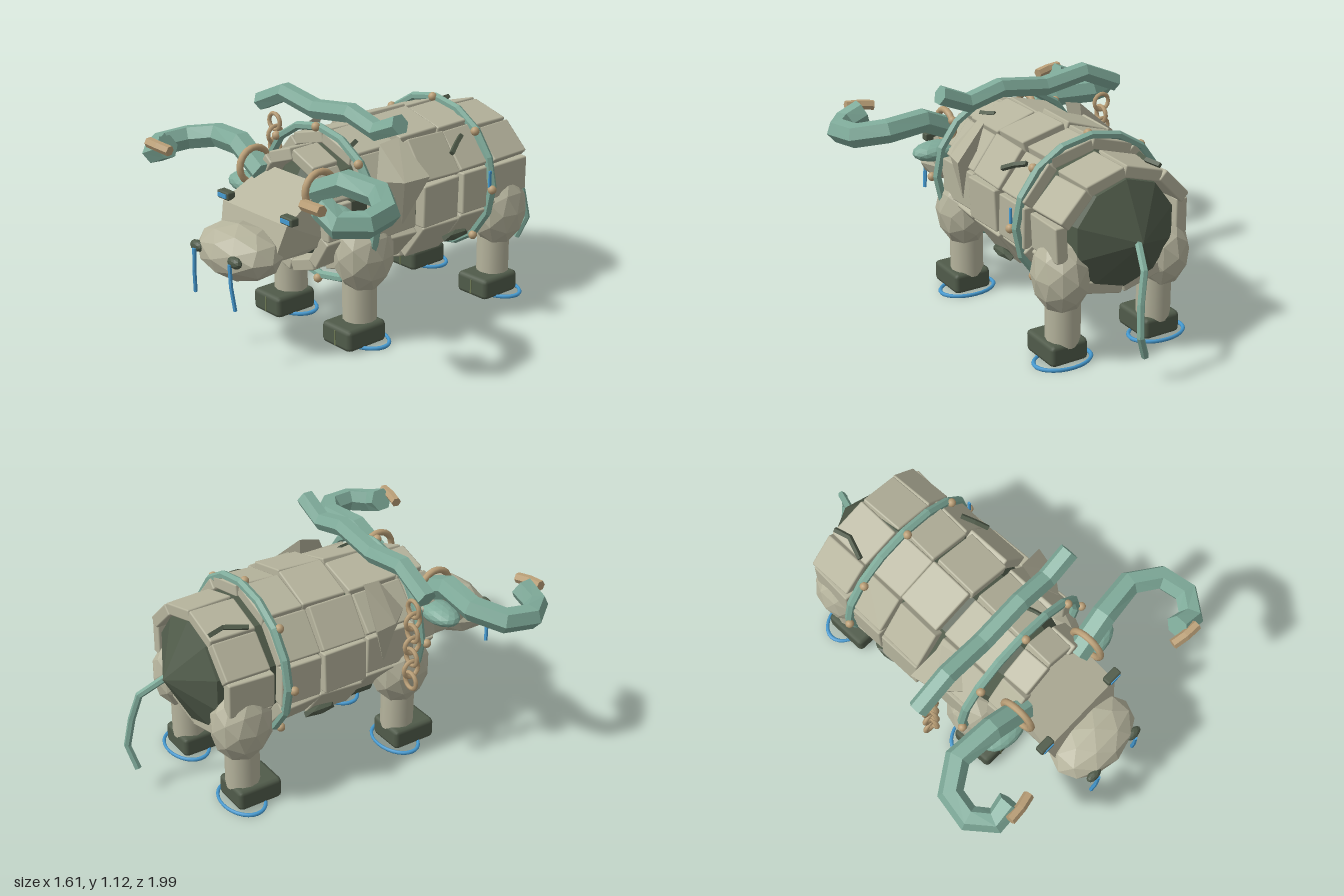
import * as THREE from 'three';
import { ConvexGeometry } from 'three/addons/geometries/ConvexGeometry.js';
import { RoundedBoxGeometry } from 'three/addons/geometries/RoundedBoxGeometry.js';

const material = (name, color) => Object.assign(new THREE.MeshStandardMaterial({ color }), { name });
const V = (x, y, z) => new THREE.Vector3(x, y, z);

// Facet a geometry so every face is flat
function flat(geo) {
  const g = geo.index ? geo.toNonIndexed() : geo;
  g.computeVertexNormals();
  return g;
}

// Faceted tube with a ring exactly at each path point, and capped ends
function bentTube(points, radius, sides = 6) {
  const curve = new THREE.CatmullRomCurve3(points);
  curve.getPointAt = curve.getPoint;
  curve.getTangentAt = curve.getTangent;
  const n = points.length - 1;
  const geo = new THREE.TubeGeometry(curve, n, radius, sides, false);
  const index = Array.from(geo.index.array), end = n * (sides + 1);
  for (let j = 1; j < sides - 1; j++) index.push(0, j, j + 1, end, end + j + 1, end + j);
  geo.setIndex(index);
  return flat(geo);
}

// Low-poly ellipsoid
const boulder = (rx, ry, rz, detail = 1) => flat(new THREE.IcosahedronGeometry(1, detail).scale(rx, ry, rz));

export function createModel() {
  const root = new THREE.Group();
  root.name = 'stoneBull';
  const stone = material('stone', 0xb6b49d);
  const moss = material('moss', 0x6c7853);
  const dark = material('darkStone', 0x505b4a);
  const green = material('patinaGreen', 0x7fab9a);
  const tan = material('bronze', 0xba9f77);
  const blue = material('glowBlue', 0x469bd2);

  const add = (name, geo, mat, x = 0, y = 0, z = 0) => {
    const m = new THREE.Mesh(geo, mat);
    m.name = name;
    m.position.set(x, y, z);
    root.add(m);
    return m;
  };
  let seed = 7;
  const jitter = (a) => {
    seed = (seed * 16807) % 2147483647;
    return (seed / 2147483647 - 0.5) * 2 * a;
  };
  const midY = 0.63;

  // Dark core inside the stone plates, pointed at the rump
  const profile = [[0, -0.83], [0.27, -0.69], [0.325, -0.45], [0.345, -0.2], [0.325, 0.1], [0.23, 0.45], [0, 0.6]];
  const core = new THREE.LatheGeometry(profile.map(([r, y]) => new THREE.Vector2(r, y)), 10);
  add('bodyCore', flat(core.rotateX(Math.PI / 2).scale(1, 0.97, 1)), dark, 0, midY - 0.01, 0);

  // Rings of stone plates: centre z, length, half width, half height
  const rows = [
    [0.455, 0.15, 0.265, 0.28], [0.195, 0.28, 0.365, 0.325], [-0.08, 0.24, 0.388, 0.35],
    [-0.32, 0.22, 0.38, 0.342], [-0.57, 0.24, 0.355, 0.29],
  ];
  for (const [z, len, rx, ry] of rows) {
    for (let i = 0; i < 10; i++) {
      const a = (i / 10) * Math.PI * 2, b = ((i + 1) / 10) * Math.PI * 2;
      const p = V(Math.sin(a) * rx, Math.cos(a) * ry, 0), q = V(Math.sin(b) * rx, Math.cos(b) * ry, 0);
      const mid = p.clone().add(q).multiplyScalar(0.5), d = q.clone().sub(p);
      const plate = add('bodyPlate', new RoundedBoxGeometry(d.length() * 0.97, 0.06, len * 0.97, 1, 0.008), stone,
        mid.x * 0.97, midY + mid.y * 0.97, z + jitter(0.01));
      plate.rotation.set(jitter(0.06), jitter(0.03), Math.atan2(d.y, d.x) + jitter(0.06), 'ZYX');
    }
  }

  // Metal hoops with beads
  for (const z of [0.35, -0.4]) {
    add('hoop', flat(new THREE.TorusGeometry(1, 0.055, 6, 16).scale(0.4, 0.37, 0.4)), green, 0, midY, z);
    for (let i = 0; i < 8; i++) {
      const a = (i * Math.PI) / 4;
      add('hoopBead', new THREE.SphereGeometry(0.022, 10, 8), tan,
        Math.sin(a) * 0.418, midY - 0.005 + Math.cos(a) * 0.378, z + 0.02);
    }
  }

  // Legs with hooves and a glowing ring at each foot
  for (const s of [1, -1]) {
    for (const [z, side] of [[0.33, 'front'], [-0.57, 'rear']]) {
      add(side + 'Haunch', boulder(0.132, 0.192, 0.155), stone, s * 0.275, 0.445, z - 0.01);
      add(side + 'Leg', new THREE.CylinderGeometry(0.083, 0.083, 0.3, 12), stone, s * 0.255, 0.24, z);
      add(side + 'Hoof', new RoundedBoxGeometry(0.2, 0.108, 0.235, 1, 0.022), dark, s * 0.26, 0.062, z + 0.04);
      add(side + 'HoofCleft', new THREE.BoxGeometry(0.008, 0.075, 0.006), moss, s * 0.26, 0.06, z + 0.157);
      add(side + 'FootRing', new THREE.TorusGeometry(1, 0.075, 6, 28).rotateX(Math.PI / 2).scale(0.145, 0.13, 0.1),
        blue, s * 0.265, 0.01, z - 0.015);
    }
  }

  // Head block, tapering forward and down
  const headPoints = [];
  for (const s of [1, -1]) {
    headPoints.push(V(s * 0.21, 0.8, 0.5), V(s * 0.235, 0.67, 0.74), V(s * 0.2, 0.5, 0.79),
      V(s * 0.19, 0.49, 0.6), V(s * 0.2, 0.52, 0.46));
  }
  add('head', flat(new ConvexGeometry(headPoints)), stone);
  add('muzzle', boulder(0.242, 0.13, 0.165), stone, 0, 0.512, 0.828);

  for (const s of [1, -1]) {
    // Nostrils with glowing drips
    add('nostril', boulder(0.045, 0.028, 0.024), dark, s * 0.14, 0.53, 0.962);
    add('nostrilDrip', bentTube([V(s * 0.132, 0.525, 0.985), V(s * 0.138, 0.42, 0.985), V(s * 0.15, 0.305, 0.975)], 0.01), blue);
    // Eyes
    add('eyeSocket', new RoundedBoxGeometry(0.085, 0.04, 0.045, 1, 0.008), dark, s * 0.232, 0.695, 0.723);
    add('eyeGlow', new THREE.BoxGeometry(0.062, 0.02, 0.006), blue, s * 0.232, 0.695, 0.747);
    // Ears
    add('ear', boulder(0.13, 0.05, 0.08, 2), green, s * 0.305, 0.69, 0.53);
    // Horns with bronze tips and collars
    add('horn', bentTube([[0.18, 0.77, 0.54], [0.38, 0.865, 0.52], [0.585, 0.855, 0.5], [0.72, 0.83, 0.585],
      [0.745, 0.82, 0.72], [0.67, 0.82, 0.815], [0.57, 0.865, 0.81]].map(([x, y, z]) => V(s * x, y, z)), 0.061), green);
    add('hornTip', bentTube([V(s * 0.635, 0.885, 0.87), V(s * 0.56, 0.88, 0.865), V(s * 0.49, 0.87, 0.85)], 0.026), tan);
    add('hornCollar', new THREE.TorusGeometry(0.085, 0.017, 8, 18).rotateY(Math.PI / 2), tan, s * 0.238, 0.8, 0.55);
    // Shoulder shards
    add('shoulderShard', flat(new ConvexGeometry([V(s * 0.27, 0.96, 0.1), V(s * 0.44, 0.8, 0.06),
      V(s * 0.41, 0.79, 0.19), V(s * 0.25, 0.94, 0.2), V(s * 0.36, 0.56, 0.16), V(s * 0.33, 0.8, 0.29)])), stone);
    // Dark shards low on the flanks
    add('flankShard', boulder(0.035, 0.025, 0.095, 0), dark, s * 0.35, 0.42, -0.2).rotation.z = s * 0.6;
  }
  // Glowing mark beside the rear hoop
  add('sideRune', new THREE.BoxGeometry(0.009, 0.09, 0.014), blue, 0.41, 0.675, -0.372);

  // Crooked yoke bar across the shoulders
  add('yoke', bentTube([[-0.57, 0.98], [-0.38, 1.065], [-0.15, 1.03], [0.1, 1.065], [0.28, 1.02], [0.43, 1.085]]
    .map(([x, y]) => V(x, y, 0.24)), 0.049), green);

  // Chain hanging from the yoke, links turned alternately
  for (let i = 0; i < 7; i++) {
    const link = add('chainLink', new THREE.TorusGeometry(0.042, 0.011, 6, 14), tan, -0.485, 0.89 - i * 0.065, 0.23);
    link.rotation.y = i % 2 ? Math.PI / 2 : 0;
  }

  // Tail
  add('tail', bentTube([V(0, 0.64, -0.78), V(0.06, 0.54, -0.925), V(0.095, 0.4, -0.955),
    V(0.11, 0.25, -0.98), V(0.065, 0.135, -0.955)], 0.018), green);

  // Dark cracks lying on the plates
  const cracks = [
    [[-0.19, 0.905, -0.68], [-0.17, 0.91, -0.6], [-0.21, 0.895, -0.49]],
    [[0.28, 0.885, -0.3], [0.31, 0.865, -0.24], [0.34, 0.835, -0.18]],
    [[0.13, 0.935, 0.24], [0.15, 0.925, 0.29], [0.16, 0.92, 0.33]],
  ];
  for (const c of cracks) add('crack', bentTube(c.map((p) => V(...p)), 0.014, 4), dark);

  // Dark shard under the belly
  add('bellyShard', boulder(0.18, 0.055, 0.26, 0), dark, 0, 0.31, -0.2);

  return root;
}
